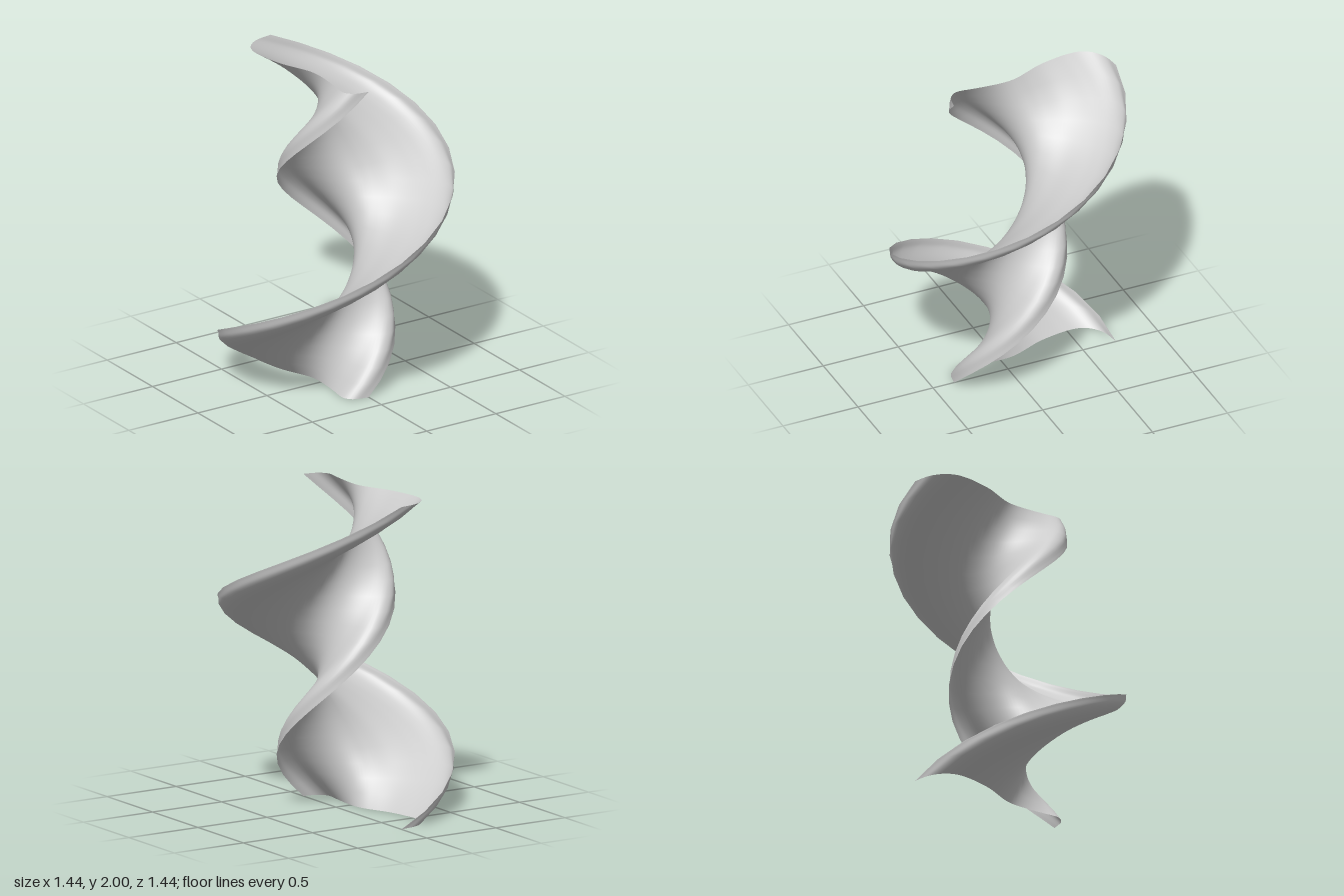
import * as THREE from 'three';

const HEIGHT = 2;
const TURNS = 1;
const ROWS = 24;     // steps up the twist
const COLUMNS = 64;  // steps across the ribbon

// S-shaped horizontal section (x, z), from the wide outer rim to the narrow one
const section = new THREE.SplineCurve([
  [0, -0.72], [-0.112, -0.7], [-0.19, -0.648], [-0.228, -0.578], [-0.233, -0.5],
  [-0.224, -0.424], [-0.197, -0.3], [-0.152, -0.19], [-0.122, -0.114], [-0.109, -0.037],
  [-0.112, 0.06], [-0.124, 0.176], [-0.135, 0.253], [-0.128, 0.3], [-0.085, 0.342], [0, 0.36],
].map(([x, z]) => new THREE.Vector2(x, z)));

// Sweep the section upwards while turning it about the vertical axis
function twistedRibbon() {
  const profile = section.getSpacedPoints(COLUMNS);
  const geometry = new THREE.PlaneGeometry(1, 1, COLUMNS, ROWS);
  const position = geometry.attributes.position;
  for (let row = 0; row <= ROWS; row++) {
    const t = row / ROWS;
    const angle = t * TURNS * Math.PI * 2;
    const c = Math.cos(angle), s = Math.sin(angle);
    profile.forEach((p, col) => {
      position.setXYZ(row * (COLUMNS + 1) + col,
        p.x * c + p.y * s, t * HEIGHT, p.y * c - p.x * s);
    });
  }
  geometry.computeVertexNormals();
  return geometry;
}

export function createModel() {
  const group = new THREE.Group();
  group.name = 'twistedSculpture';
  const material = new THREE.MeshStandardMaterial({ color: 0xcccccc, side: THREE.DoubleSide });
  const ribbon = new THREE.Mesh(twistedRibbon(), material);
  ribbon.name = 'twistedRibbon';
  group.add(ribbon);
  return group;
}
